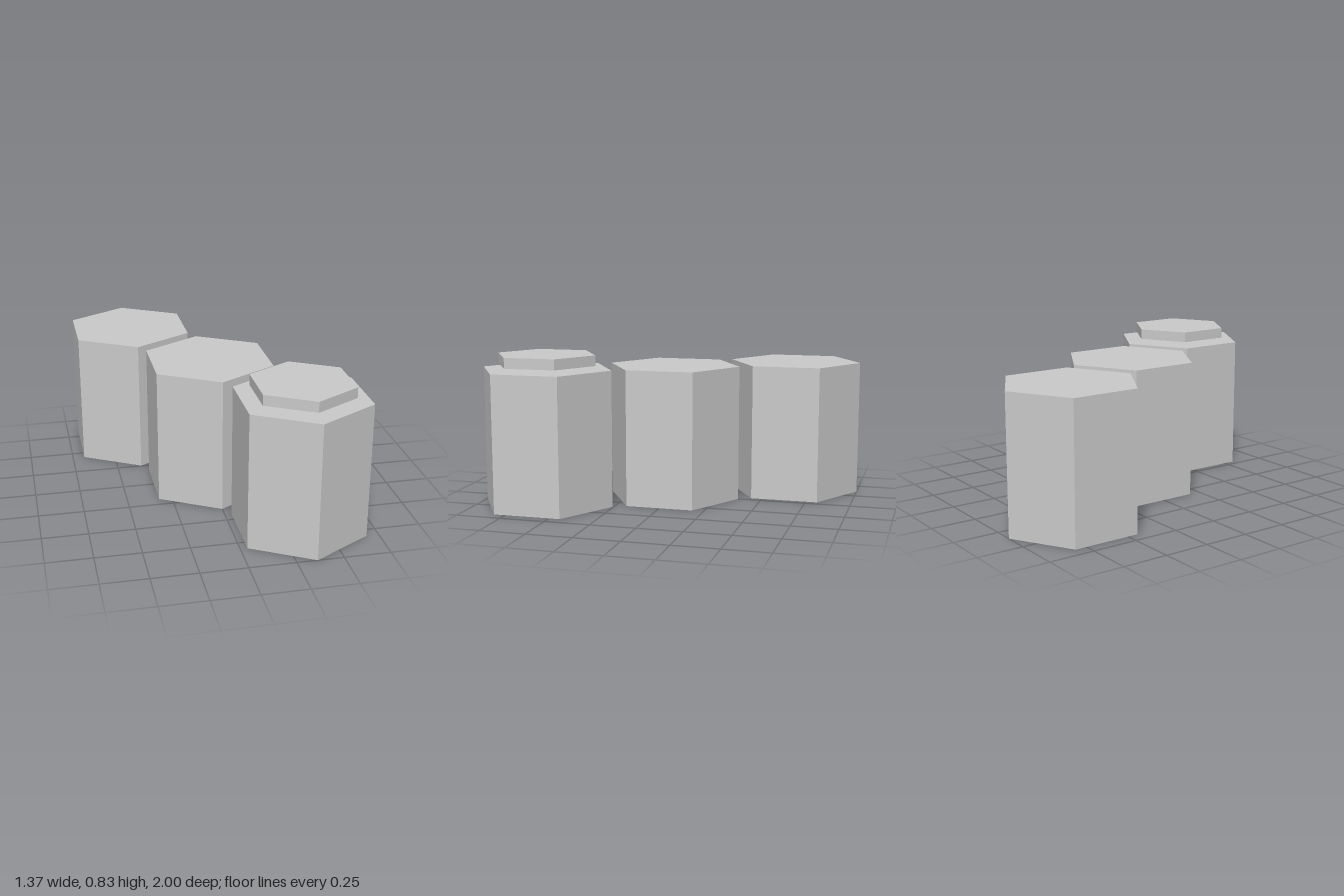
import * as THREE from 'three';

export function createModel() {
  const group = new THREE.Group();
  const material = new THREE.MeshStandardMaterial({ color: 0xcccccc, flatShading: true });

  // Upright hexagonal prism with corners pointing along z
  function addHex(name, radius, bottom, top, x, z) {
    const geometry = new THREE.CylinderGeometry(radius, radius, top - bottom, 6);
    const mesh = new THREE.Mesh(geometry, material);
    mesh.name = name;
    mesh.position.set(x, (bottom + top) / 2, z);
    group.add(mesh);
  }

  // Row of three columns running diagonally from back right to front left
  const stepX = 0.36, stepZ = 0.627;
  ['backColumn', 'middleColumn', 'frontColumn'].forEach((name, i) => {
    addHex(name, 0.373, 0, 0.753, (i - 1) * stepX, (i - 1) * stepZ);
  });

  // Thin plate hovering just above the front column
  addHex('floatingPlate', 0.283, 0.775, 0.833, stepX, stepZ);

  return group;
}
